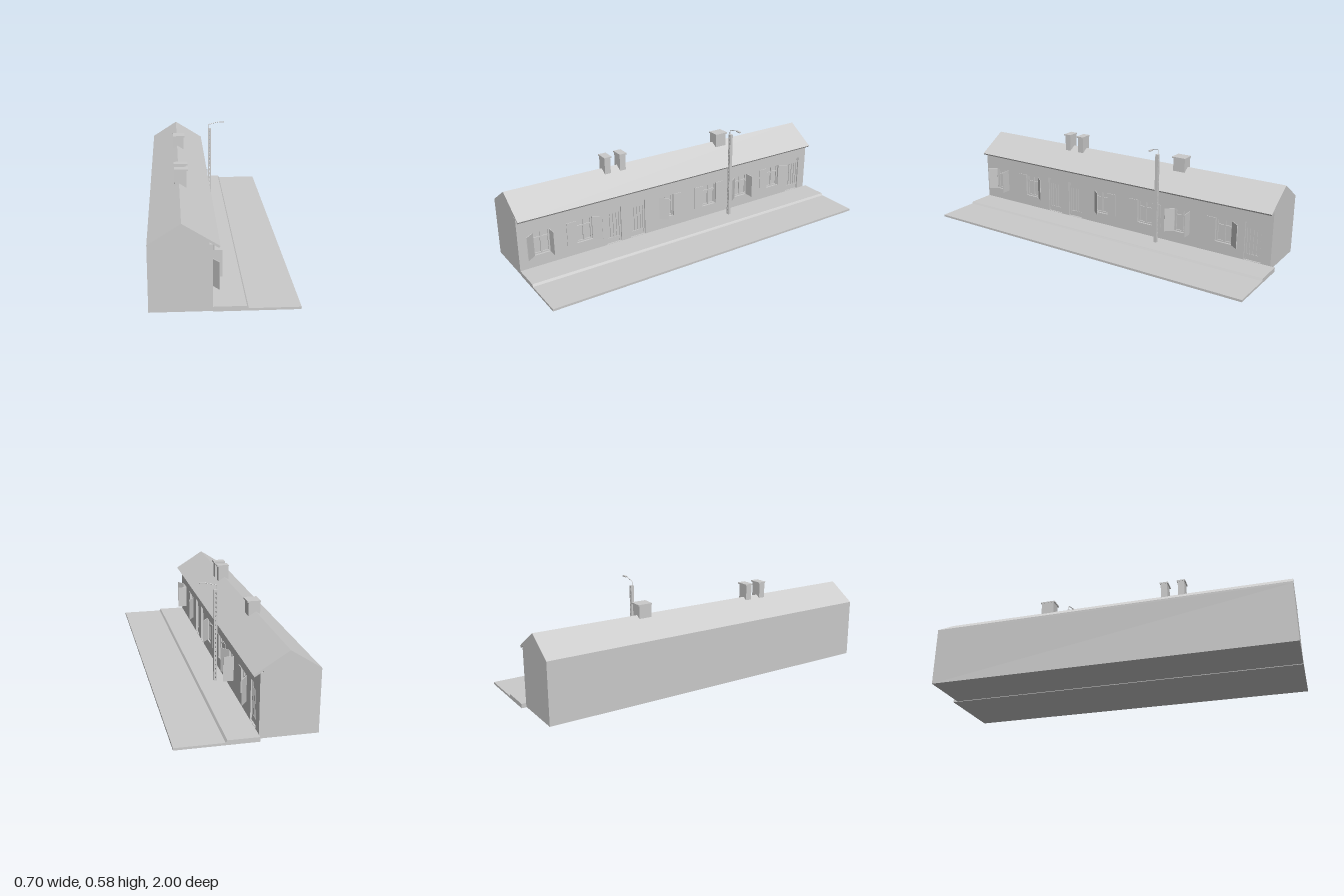
import * as THREE from 'three';

const material = new THREE.MeshStandardMaterial({ color: 0xcccccc, flatShading: true });

function add(parent, name, geometry) {
  const mesh = new THREE.Mesh(geometry, material);
  mesh.name = name;
  parent.add(mesh);
  return mesh;
}

// Box given by its minimum and maximum corners
function box(parent, name, x0, x1, y0, y1, z0, z1) {
  const mesh = add(parent, name, new THREE.BoxGeometry(x1 - x0, y1 - y0, z1 - z0));
  mesh.position.set((x0 + x1) / 2, (y0 + y1) / 2, (z0 + z1) / 2);
  return mesh;
}

const polygon = (points) => new THREE.Shape(points.map(([x, y]) => new THREE.Vector2(x, y)));
const rectangle = (x0, x1, y0, y1) => polygon([[x0, y0], [x1, y0], [x1, y1], [x0, y1]]);

// x/y cross-section swept along z
function sweep(parent, name, points, z0, z1) {
  const geometry = new THREE.ExtrudeGeometry(polygon(points), { depth: z1 - z0, bevelEnabled: false });
  return add(parent, name, geometry.translate(0, 0, z0));
}

const WALL = -0.058, RECESS = -0.074;
const HOUSE_BACK = -0.975, HOUSE_FRONT = 1;
const OPENING = 0.097, SILL = 0.09, HEAD = 0.225, DOOR_BASE = 0.026, DOOR_TOP = 0.24;
const SHUTTER = 0.056;

// Window centres, with the swing of the +z and -z shutters (0 = flat on the wall)
const windows = [
  [0.868, 0.6, Math.PI / 2],
  [0.62, 0, 0.65],
  [0.094, Math.PI - 0.7, 0],
  [-0.21, 0, 0],
  [-0.449, 0.65, Math.PI / 2],
  [-0.703, 0, 0.65],
];
const doors = [0.441, 0.286, -0.872];

function addWindow(parent, z, swingA, swingB) {
  const group = new THREE.Group();
  group.name = 'window';
  parent.add(group);
  const h = OPENING / 2, x0 = RECESS - 0.001, x1 = RECESS + 0.007;
  // Frame, mullion and transom
  for (const s of [-1, 0, 1]) {
    const c = z + s * (h - 0.004);
    box(group, 'windowUpright', x0, x1, SILL, HEAD, c - 0.005, c + 0.005);
  }
  for (const y of [SILL + 0.004, 0.185, HEAD - 0.004]) {
    box(group, 'windowRail', x0, x1 - 0.001, y - 0.004, y + 0.004, z - h, z + h);
  }
  // Hinged shutters
  [[1, swingA], [-1, swingB]].forEach(([side, swing]) => {
    const hinge = new THREE.Group();
    hinge.name = 'shutter';
    hinge.position.set(WALL, 0, z + side * h);
    hinge.rotation.y = side * swing;
    const a = Math.min(0, side * SHUTTER), b = Math.max(0, side * SHUTTER);
    box(hinge, 'shutterPanel', 0, 0.004, SILL, HEAD, a, b);
    group.add(hinge);
  });
}

function addDoor(parent, z) {
  const group = new THREE.Group();
  group.name = 'door';
  parent.add(group);
  const h = OPENING / 2, x0 = RECESS - 0.001, x1 = RECESS + 0.008;
  for (const s of [-1, 1]) {
    const c = z + s * (h - 0.005);
    box(group, 'doorStile', x0, x1, DOOR_BASE, DOOR_TOP, c - 0.005, c + 0.005);
  }
  box(group, 'doorTopRail', x0, x1 - 0.001, 0.205, DOOR_TOP, z - h, z + h);
  box(group, 'doorBottomRail', x0, x1 - 0.001, DOOR_BASE, 0.058, z - h, z + h);
  // Vertical planks
  for (let i = 0; i < 4; i++) {
    const c = z + (i - 1.5) * 0.02;
    box(group, 'doorPlank', x0, x1 - 0.003, 0.058, 0.205, c - 0.007, c + 0.007);
  }
}

function createHouse() {
  const house = new THREE.Group();
  house.name = 'house';
  // Solid body with gable ends
  sweep(house, 'houseBody',
    [[-0.35, 0.003], [RECESS, 0.003], [RECESS, 0.3385], [-0.197, 0.416], [-0.35, 0.32]],
    HOUSE_BACK, HOUSE_FRONT);
  // Street wall pierced by the windows and doors
  const wall = rectangle(-HOUSE_FRONT, -HOUSE_BACK, 0.003, 0.329);
  const h = OPENING / 2;
  for (const [z] of windows) wall.holes.push(rectangle(-z - h, -z + h, SILL, HEAD));
  for (const z of doors) wall.holes.push(rectangle(-z - h, -z + h, DOOR_BASE, DOOR_TOP));
  const wallMesh = add(house, 'streetWall',
    new THREE.ExtrudeGeometry(wall, { depth: WALL - RECESS, bevelEnabled: false }));
  wallMesh.rotation.y = Math.PI / 2;
  wallMesh.position.x = RECESS;
  // Roof with eaves over the street wall
  sweep(house, 'roof',
    [[-0.35, 0.32], [-0.197, 0.416], [-0.031, 0.311], [-0.025, 0.32], [-0.197, 0.428], [-0.35, 0.33]],
    HOUSE_BACK, HOUSE_FRONT);
  windows.forEach((w) => addWindow(house, ...w));
  doors.forEach((z) => addDoor(house, z));
  // Chimneys: centre z, half width, top
  for (const [z, w, top] of [[0.41, 0.018, 0.504], [0.315, 0.018, 0.504], [-0.365, 0.036, 0.487]]) {
    box(house, 'chimney', -0.221, -0.158, 0.38, top - 0.008, z - w, z + w);
    box(house, 'chimneyCap', -0.222, -0.15, top - 0.008, top, z - w - 0.005, z + w + 0.005);
  }
  return house;
}

function createLamp() {
  const lamp = new THREE.Group();
  lamp.name = 'streetLamp';
  lamp.position.z = -0.318;
  // Concrete post with a row of slots
  const post = rectangle(-0.009, 0.009, 0.022, 0.535);
  for (let i = 0; i < 20; i++) {
    const y = 0.033 + i * 0.025;
    post.holes.push(rectangle(-0.003, 0.002, y, y + 0.013));
  }
  add(lamp, 'lampPost', new THREE.ExtrudeGeometry(post, { depth: 0.017, bevelEnabled: false })
    .translate(0, 0, -0.0085));
  // Bent arm and lamp head
  const path = new THREE.CurvePath();
  const points = [[-0.007, 0.53], [-0.007, 0.553], [-0.003, 0.56], [0.062, 0.576]]
    .map(([x, y]) => new THREE.Vector3(x, y, 0));
  path.add(new THREE.LineCurve3(points[0], points[1]));
  path.add(new THREE.QuadraticBezierCurve3(points[1], new THREE.Vector3(-0.007, 0.559, 0), points[2]));
  path.add(new THREE.LineCurve3(points[2], points[3]));
  add(lamp, 'lampArm', new THREE.TubeGeometry(path, 24, 0.002, 6));
  box(lamp, 'lampHead', 0.057, 0.087, 0.57, 0.576, -0.006, 0.006);
  return lamp;
}

export function createModel() {
  const model = new THREE.Group();
  model.name = 'streetHouse';
  // Pavement, sloped kerb and road in one section
  sweep(model, 'pavementAndRoad',
    [[WALL, 0], [0.347, 0], [0.347, 0.012], [0.105, 0.012], [0.097, 0.024], [WALL, 0.024]], -1, 1);
  model.add(createHouse(), createLamp());
  return model;
}
